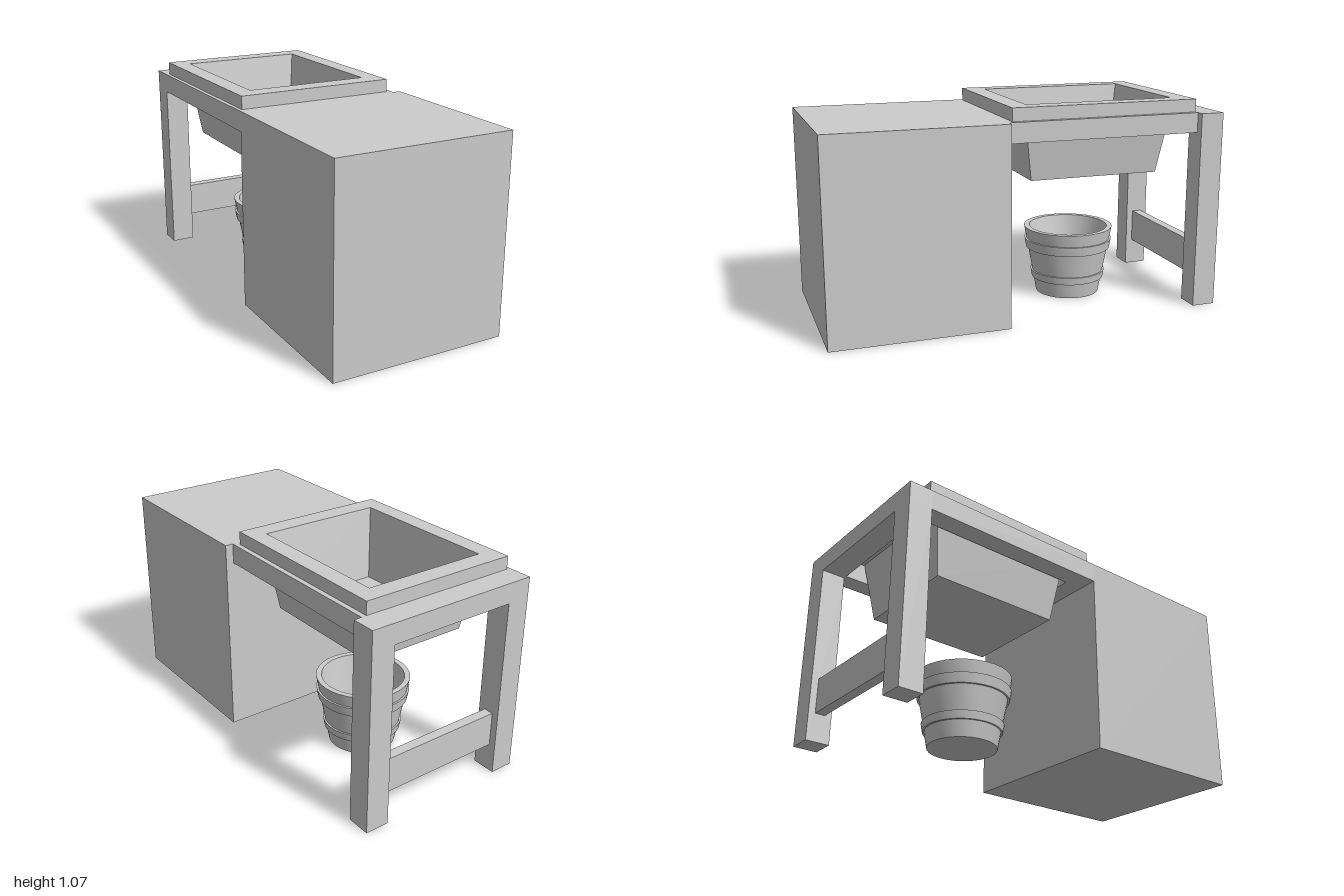
import * as THREE from 'three';
import { toCreasedNormals } from 'three/addons/utils/BufferGeometryUtils.js';

const material = new THREE.MeshStandardMaterial({ color: 0xcccccc });

// Box given by its extents on each axis
function slab(name, [x0, x1], [y0, y1], [z0, z1]) {
  const mesh = new THREE.Mesh(new THREE.BoxGeometry(x1 - x0, y1 - y0, z1 - z0), material);
  mesh.position.set((x0 + x1) / 2, (y0 + y1) / 2, (z0 + z1) / 2);
  mesh.name = name;
  return mesh;
}

// Solid skinned over rectangular rings [y, x0, x1, z0, z1], capped at both ends
function rectLoft(rings) {
  const corners = rings.map(([y, x0, x1, z0, z1]) => [[x1, y, z1], [x1, y, z0], [x0, y, z0], [x0, y, z1]]);
  const pos = [];
  const quad = (a, b, c, d) => pos.push(...a, ...b, ...c, ...a, ...c, ...d);
  for (let i = 0; i < corners.length - 1; i++) {
    for (let k = 0; k < 4; k++) {
      const n = (k + 1) % 4;
      quad(corners[i][k], corners[i][n], corners[i + 1][n], corners[i + 1][k]);
    }
  }
  quad(...[...corners[0]].reverse());
  quad(...corners[corners.length - 1]);
  const geo = new THREE.BufferGeometry();
  geo.setAttribute('position', new THREE.Float32BufferAttribute(pos, 3));
  geo.computeVertexNormals();
  return geo;
}

export function createModel() {
  const model = new THREE.Group();
  model.name = 'sinkBench';

  // Solid cabinet block at the front
  model.add(slab('cabinet', [-0.45, 0.45], [0, 1], [0.115, 1]));

  // Open frame: back legs, rails around the basin, low stretcher
  const frame = new THREE.Group();
  frame.name = 'frame';
  const backZ = [-1, -0.88];
  frame.add(
    slab('rightLeg', [-0.45, -0.33], [0, 0.9], backZ),
    slab('leftLeg', [0.33, 0.45], [0, 0.9], backZ),
    slab('backRail', [-0.45, 0.45], [0.9, 1], backZ),
    slab('rightRail', [-0.45, -0.35], [0.9, 1], [-0.88, 0.115]),
    slab('leftRail', [0.31, 0.41], [0.9, 1], [-0.88, 0.115]),
    slab('frontRail', [-0.35, 0.31], [0.9, 1], [0.015, 0.115]),
    slab('stretcher', [-0.33, 0.33], [0.14, 0.315], [-0.965, -0.915])
  );
  model.add(frame);

  // Tapered basin with a flat raised rim: up the outside, over the rim, down the inside
  const basin = new THREE.Mesh(rectLoft([
    [0.68, -0.3, 0.255, -0.735, -0.055],
    [1.0, -0.35, 0.305, -0.785, -0.005],
    [1.0, -0.43, 0.385, -0.88, 0.09],
    [1.065, -0.43, 0.385, -0.88, 0.09],
    [1.065, -0.34, 0.295, -0.785, -0.01],
    [0.71, -0.295, 0.25, -0.73, -0.065]
  ]), material);
  basin.name = 'basin';
  model.add(basin);

  // Banded bucket under the basin
  const profile = [
    [0, 0], [0.168, 0], [0.183, 0.08], [0.192, 0.08], [0.199, 0.12], [0.19, 0.12],
    [0.214, 0.245], [0.224, 0.245], [0.233, 0.295], [0.223, 0.295],
    [0.235, 0.36], [0.207, 0.36], [0.145, 0.03], [0, 0.03]
  ].map(([r, y]) => new THREE.Vector2(r, y));
  const bucket = new THREE.Mesh(
    toCreasedNormals(new THREE.LatheGeometry(profile, 32), Math.PI / 6), material);
  bucket.position.set(-0.022, 0, -0.372);
  bucket.name = 'bucket';
  model.add(bucket);

  return model;
}
